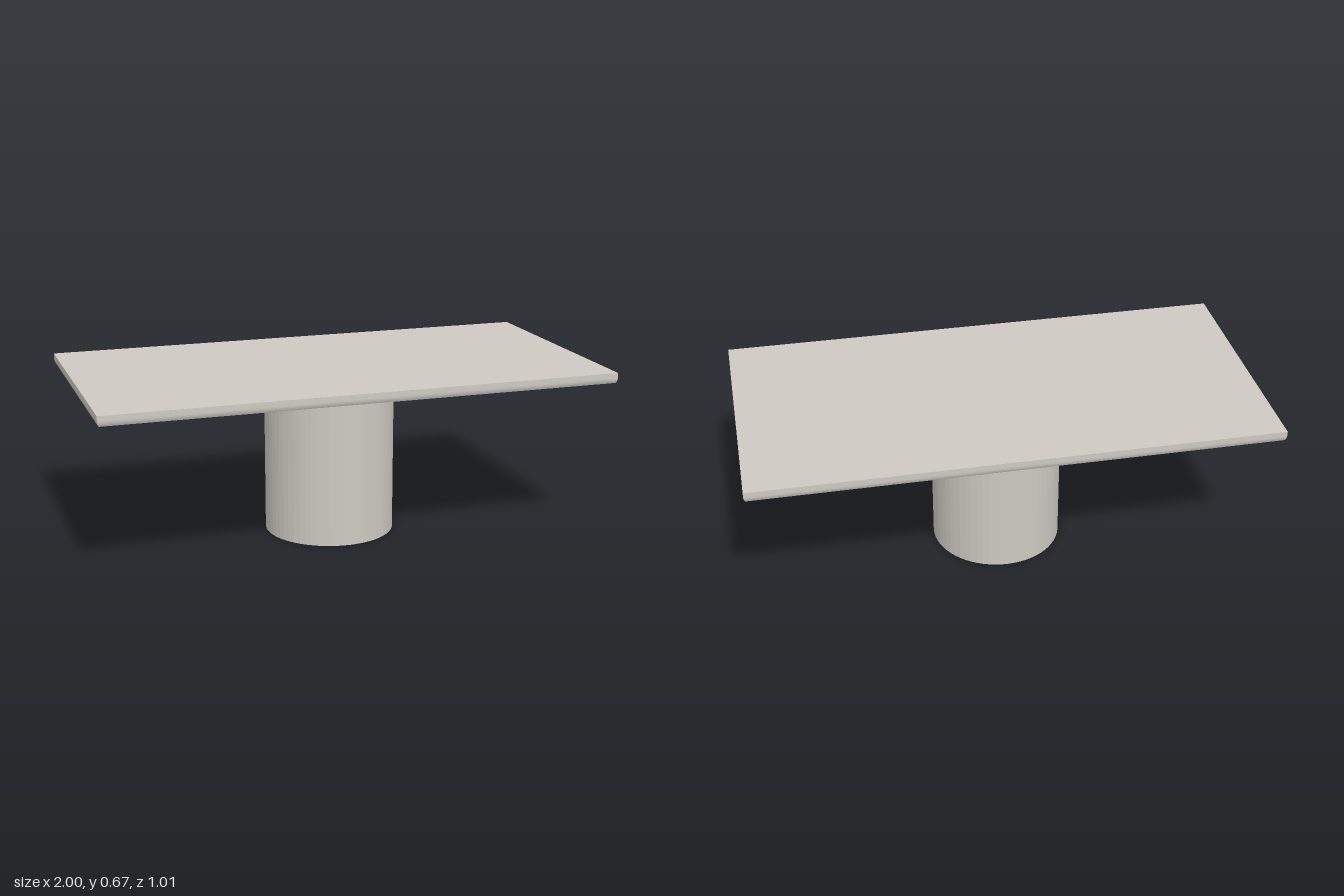
import * as THREE from 'three';

export function createModel() {
  const group = new THREE.Group();
  const stone = new THREE.MeshStandardMaterial({ color: 0xcdc9c2, flatShading: true });
  stone.name = 'warm grey stone';

  const underside = 0.628, thickness = 0.04, inset = 0.006;

  // Table top: a slab whose edge curves inward towards the underside
  const slab = new THREE.BoxGeometry(2, thickness, 1.01, 1, 8, 1);
  const p = slab.attributes.position;
  for (let i = 0; i < p.count; i++) {
    const t = Math.max(0, -p.getY(i) / (thickness / 2)); // 0 at mid-height, 1 at the bottom
    const d = inset * t * t;
    p.setX(i, p.getX(i) - Math.sign(p.getX(i)) * d);
    p.setZ(i, p.getZ(i) - Math.sign(p.getZ(i)) * d);
  }
  slab.computeVertexNormals();
  const top = new THREE.Mesh(slab, stone);
  top.name = 'tableTop';
  top.position.y = underside + thickness / 2;

  // Pedestal: a faceted drum, set slightly towards the front
  const drum = new THREE.CylinderGeometry(0.255, 0.255, underside, 64);
  const pedestal = new THREE.Mesh(drum, stone);
  pedestal.name = 'pedestal';
  pedestal.position.set(0, underside / 2, 0.008);

  group.add(top, pedestal);
  return group;
}
